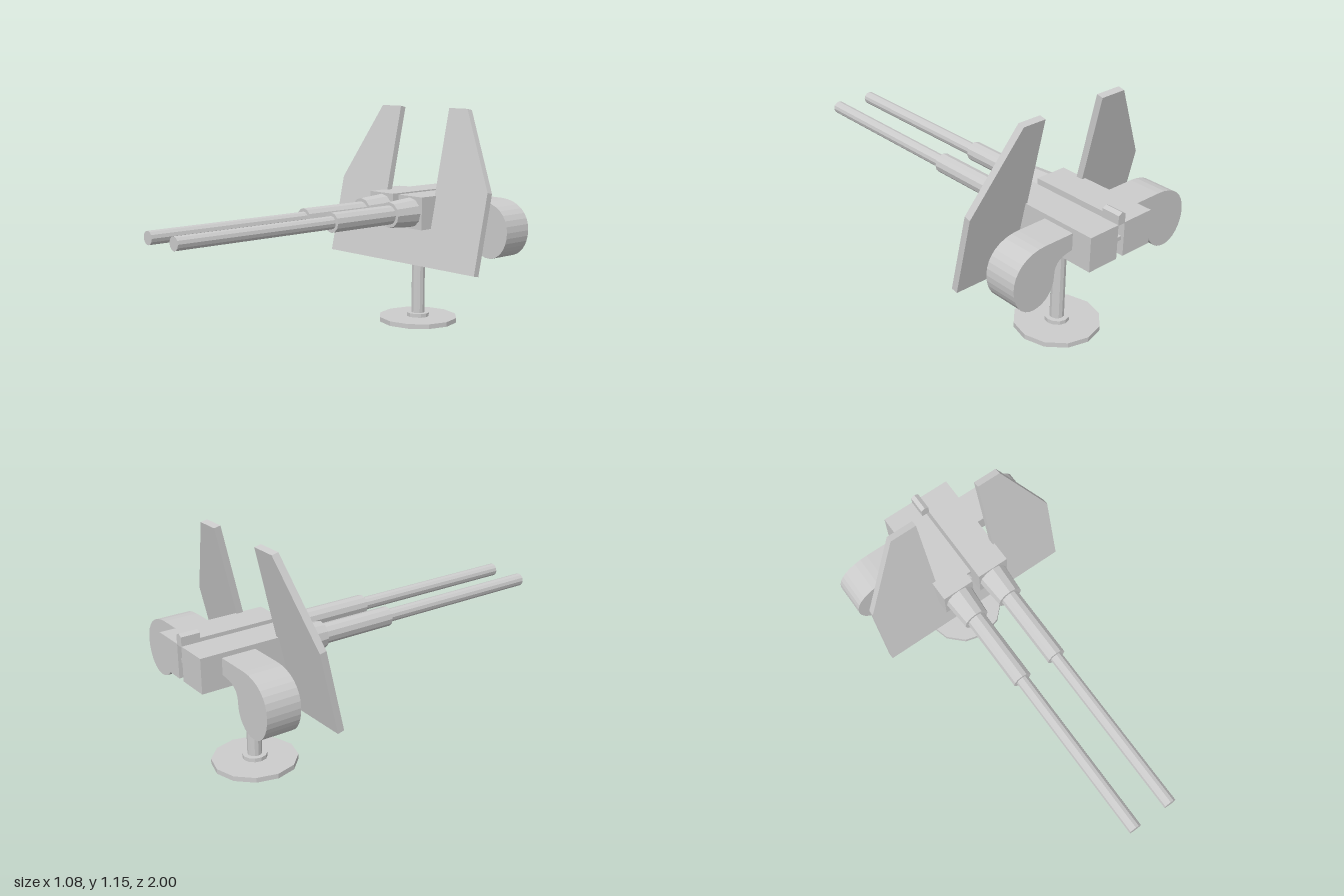
import * as THREE from 'three';

export function createModel() {
  const group = new THREE.Group();
  const material = new THREE.MeshStandardMaterial({ color: 0xcccccc, flatShading: true });
  const cx = 0.01; // centre line of the guns and mount

  const add = (name, geometry, x = 0, y = 0, z = 0) => {
    const mesh = new THREE.Mesh(geometry, material);
    mesh.name = name;
    mesh.position.set(x, y, z);
    group.add(mesh);
    return mesh;
  };
  const extrude = (shape, depth) =>
    new THREE.ExtrudeGeometry(shape, { depth, bevelEnabled: false, curveSegments: 8 });
  const polygon = (points) => new THREE.Shape(points.map(([x, y]) => new THREE.Vector2(x, y)));

  // Upright cylinder between two heights
  const column = (name, r, y0, y1) =>
    add(name, new THREE.CylinderGeometry(r, r, y1 - y0, 12), cx, (y0 + y1) / 2, -0.635);
  column('baseDisc', 0.212, 0, 0.025);
  column('baseCollar', 0.061, 0.025, 0.045);
  column('pedestal', 0.036, 0.045, 0.545);

  // Barrel section along z, from rear radius to front radius
  const barrelPart = (name, x, rRear, rFront, z0, z1) => {
    const geometry = new THREE.CylinderGeometry(rFront, rRear, z1 - z0, 12);
    geometry.rotateX(Math.PI / 2);
    add(name, geometry, x, 0.62, (z0 + z1) / 2);
  };

  for (const s of [-1, 1]) {
    const side = s > 0 ? 'left' : 'right';
    const x = cx + s * 0.103;

    // Gun body and stepped barrel
    add(side + 'Receiver', new THREE.BoxGeometry(0.17, 0.17, 0.545), cx + s * 0.105, 0.62, -0.7275);
    barrelPart(side + 'BarrelCone', x, 0.078, 0.067, -0.455, -0.305);
    barrelPart(side + 'BarrelSleeve', x, 0.05, 0.05, -0.305, 0.09);
    barrelPart(side + 'Barrel', x, 0.033, 0.033, 0.09, 1);

    // Ammunition drum with a feed neck curving into the receiver
    const drum = new THREE.Shape();
    drum.moveTo(s * 0.17, 0.682);
    drum.lineTo(s * 0.36, 0.682);
    drum.bezierCurveTo(s * 0.47, 0.682, s * 0.542, 0.62, s * 0.542, 0.53);
    drum.bezierCurveTo(s * 0.542, 0.45, s * 0.49, 0.385, s * 0.425, 0.385);
    drum.bezierCurveTo(s * 0.355, 0.385, s * 0.305, 0.44, s * 0.305, 0.51);
    drum.bezierCurveTo(s * 0.305, 0.57, s * 0.27, 0.6, s * 0.17, 0.6);
    drum.closePath();
    add(side + 'AmmoDrum', extrude(drum, 0.172), 0, 0, -0.894);
  }

  // Bridge between the guns and the ridged rear sight
  add('bridge', new THREE.BoxGeometry(0.05, 0.02, 0.45), cx, 0.62, -0.76);
  const sight = polygon([[-0.021, -0.003], [0.021, -0.003], [0.021, 0.045], [0, 0.057], [-0.021, 0.045]]);
  add('rearSight', extrude(sight, 0.095), cx, 0.704, -1);

  // Slotted shield leaning back
  const shield = add('shield', extrude(polygon([
    [-0.52, 0], [0.535, 0], [0.535, 0.42], [0.315, 0.835], [0.19, 0.835],
    [0.19, 0.225], [-0.16, 0.225], [-0.16, 0.835], [-0.3, 0.835], [-0.52, 0.42],
  ]), 0.035), 0, 0.332, -0.515);
  shield.rotation.x = -THREE.MathUtils.degToRad(12.5);

  return group;
}
